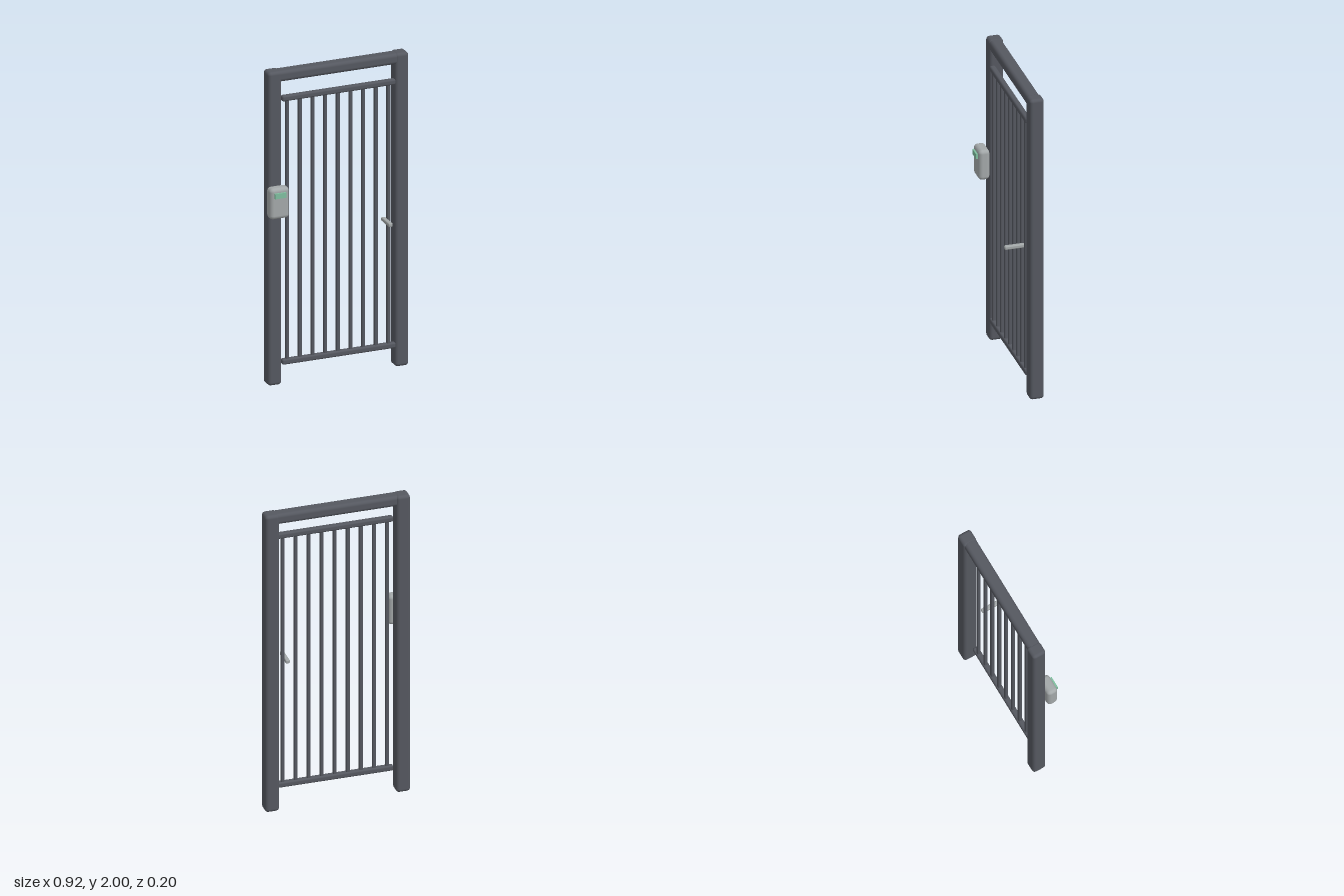
import * as THREE from 'three';
import { RoundedBoxGeometry } from 'three/addons/geometries/RoundedBoxGeometry.js';

function material(name, color) {
  const m = new THREE.MeshStandardMaterial({ color });
  m.name = name;
  return m;
}

export function createModel() {
  const gate = new THREE.Group();
  gate.name = 'gate';
  const steel = material('dark grey steel', 0x555860);
  const casing = material('light grey casing', 0xa3a8a9);
  const green = material('green display', 0x7fbf9f);

  // Softly rounded block given by its extents on each axis
  function block(name, mat, [x0, x1], [y0, y1], [z0, z1], radius) {
    const geo = new RoundedBoxGeometry(x1 - x0, y1 - y0, z1 - z0, 2, radius);
    const mesh = new THREE.Mesh(geo, mat);
    mesh.name = name;
    mesh.position.set((x0 + x1) / 2, (y0 + y1) / 2, (z0 + z1) / 2);
    gate.add(mesh);
    return mesh;
  }

  // Frame: two posts and the lintel between them
  block('rightPost', steel, [-0.446, -0.358], [0, 2], [-0.1, -0.011], 0.02);
  block('leftPost', steel, [0.373, 0.461], [0, 2], [-0.1, -0.011], 0.02);
  block('lintel', steel, [-0.39, 0.405], [1.93, 1.999], [-0.093, -0.013], 0.022);

  // Gate leaf: two rails and nine slim bars
  const barZ = -0.026;
  for (const [name, y] of [['bottomRail', 0.142], ['topRail', 1.823]]) {
    block(name, steel, [-0.357, 0.375], [y - 0.018, y + 0.018], [barZ - 0.018, barZ + 0.018], 0.011);
  }
  const barCount = 9;
  for (let i = 0; i < barCount; i++) {
    const x = -0.32 + i * 0.0816;
    block('bar' + (i + 1), steel, [x - 0.011, x + 0.011], [0.14, 1.825], [barZ - 0.011, barZ + 0.011], 0.006);
  }

  // Handle
  block('handle', casing, [0.284, 0.311], [0.946, 0.97], [-0.025, 0.099], 0.007);

  // Card reader with its display
  block('readerCasing', casing, [-0.464, -0.338], [1.087, 1.285], [-0.009, 0.061], 0.024);
  const display = new THREE.Mesh(new THREE.BoxGeometry(0.073, 0.033, 0.016), green);
  display.name = 'readerDisplay';
  display.position.set(-0.401, 1.241, 0.064);
  gate.add(display);

  return gate;
}
